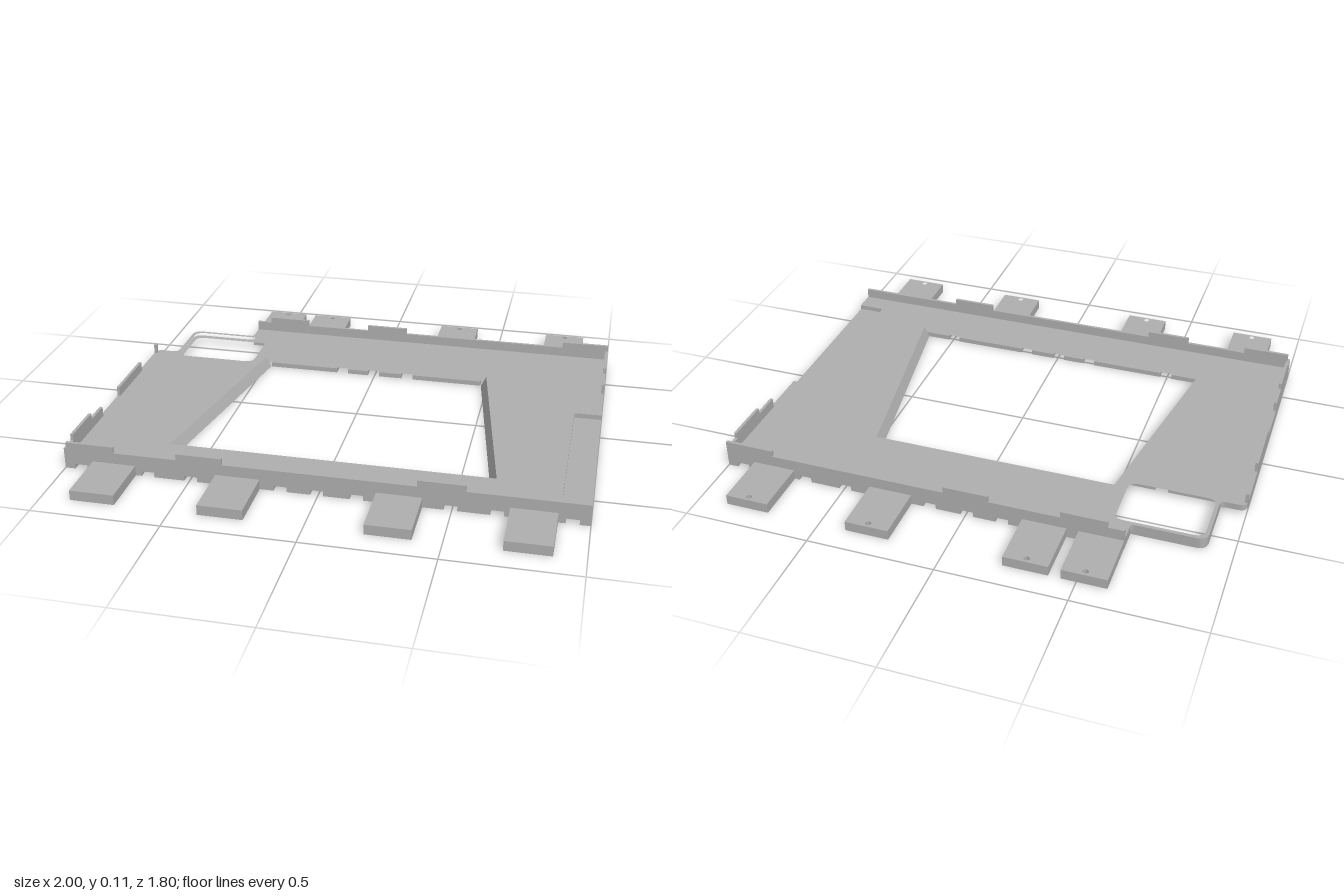
import * as THREE from 'three';
import { mergeGeometries } from 'three/addons/utils/BufferGeometryUtils.js';
import { ConvexGeometry } from 'three/addons/geometries/ConvexGeometry.js';

const grey = new THREE.MeshStandardMaterial({ color: 0xb0b0b0 });
grey.name = 'plain grey';

const DECK = 0.045, GROOVE = 0.02, WALL = 0.012, EDGE = 0.665;
const BACK = -0.375, FRONT = 0.49;            // opening limits in z
const openingX = z => 0.495 + (z - BACK) / (FRONT - BACK) * 0.145;

// box given by its limits
function box(x0, x1, y0, y1, z0, z1) {
  return new THREE.BoxGeometry(x1 - x0, y1 - y0, z1 - z0)
    .translate((x0 + x1) / 2, (y0 + y1) / 2, (z0 + z1) / 2);
}

// plan points are [x, z]
const path = pts => pts.map(([x, z]) => new THREE.Vector2(x, -z));

function slab(shape, y0, y1) {
  return new THREE.ExtrudeGeometry(shape, { depth: y1 - y0, bevelEnabled: false, curveSegments: 6 })
    .rotateX(-Math.PI / 2).translate(0, y0, 0);
}

// closed outline whose corners [x, z, radius] may be rounded
function outline(corners, Type = THREE.Shape) {
  const s = new Type(), n = corners.length;
  corners.forEach(([x, z, r = 0], i) => {
    const p = new THREE.Vector2(x, -z);
    const toward = j => {
      const q = new THREE.Vector2(corners[j][0], -corners[j][1]);
      return q.sub(p).setLength(r).add(p);
    };
    const a = toward((i + n - 1) % n), b = toward((i + 1) % n);
    if (i === 0) s.moveTo(a.x, a.y); else s.lineTo(a.x, a.y);
    if (r) s.quadraticCurveTo(p.x, p.y, b.x, b.y);
  });
  s.closePath();
  return s;
}

const windowHole = () => outline([[-0.885, -0.57, 0.04], [-0.54, -0.57, 0.04],
  [-0.54, -0.31, 0.04], [-0.885, -0.31, 0.04]], THREE.Path);

function deckShape(rightEdge) {
  const s = outline([[-0.615, -EDGE], ...rightEdge, [-1, EDGE], [-1, -0.345, 0.03],
    [-0.9, -0.345, 0.025], [-0.9, -0.585, 0.04], [-0.615, -0.585, 0.015]]);
  s.holes.push(new THREE.Path(path([[-0.495, BACK], [0.495, BACK], [0.64, FRONT], [-0.64, FRONT]])));
  s.holes.push(windowHole());
  return s;
}

// splits a range at the grooves, given as [start, end]
function between(a, b, grooves) {
  const out = [];
  let from = a;
  for (const [g0, g1] of grooves) {
    if (g1 <= a || g0 >= b) continue;
    if (g0 > from) out.push([from, g0]);
    from = g1;
  }
  if (from < b) out.push([from, b]);
  return out;
}

const lengthGrooves = [-0.935, -0.665, -0.495, -0.145, -0.005, 0.145, 0.495, 0.665, 0.935]
  .map(x => [x - 0.025, x + 0.025]);
const crossGrooves = [-0.6, -0.52, -0.435, 0.545, 0.615].map(z => [z - 0.015, z + 0.015]);

export function createModel() {
  const model = new THREE.Group();
  const add = (name, parts) => {
    const g = mergeGeometries(parts.map(p => (p.index ? p.toNonIndexed() : p)));
    const mesh = new THREE.Mesh(g, grey);
    mesh.name = name;
    model.add(mesh);
  };

  // deck, with a shallow pocket open to the left side
  add('deck', [
    slab(deckShape([[1, -EDGE], [1, EDGE]]), GROOVE, 0.025),
    slab(deckShape([[1, -EDGE], [1, -0.11], [0.89, -0.11, 0.01], [0.89, 0.58, 0.01],
      [1, 0.58], [1, EDGE]]), 0.025, DECK),
  ]);

  // pads under the deck, separated by grooves
  const pads = [box(-0.615, -0.53, 0, GROOVE, -EDGE, -0.585)];
  for (const [xStart, z0, z1] of [[-0.53, -EDGE, BACK], [-1, FRONT, EDGE]]) {
    for (const [a, b] of between(xStart, 1, lengthGrooves))
      for (const [c, d] of between(z0, z1, crossGrooves)) pads.push(box(a, b, 0, GROOVE, c, d));
  }
  for (const side of [-1, 1]) {
    const zStart = side < 0 ? -0.3 : BACK;
    for (const [a, b] of between(0.495, 1, lengthGrooves)) {
      const reach = BACK + (a - 0.495) / 0.145 * (FRONT - BACK);
      const xs = openingX(zStart);
      const pts = reach >= FRONT
        ? [[a, zStart], [b, zStart], [b, FRONT], [a, FRONT]]
        : [[Math.max(a, xs), zStart], [b, zStart], [b, FRONT], [openingX(FRONT), FRONT], [a, Math.max(reach, zStart)]];
      const clean = pts.filter(([x, z], i) => !pts.slice(0, i)
        .some(([u, v]) => Math.hypot(x - u, z - v) < 0.003));
      if (clean.length > 2)
        pads.push(slab(new THREE.Shape(path(clean.map(([x, z]) => [side * x, z]))), 0, GROOVE));
    }
  }
  add('undersidePads', pads);

  // lower half of the rounded corner frame
  const ring = outline([[-0.9, -0.585, 0.04], [-0.53, -0.585], [-0.53, -0.3], [-0.9, -0.3]]);
  ring.holes.push(windowHole());
  add('cornerFrame', [slab(ring, 0, GROOVE)]);

  // sloping cheeks of the opening
  add('openingCheeks', [-1, 1].map(side => {
    const pts = [];
    for (const z of [BACK, FRONT]) {
      const x = openingX(z);
      pts.push([x, DECK, z], [x, 0, z], [x - 0.022, 0, z]);
    }
    return new ConvexGeometry(pts.map(([x, y, z]) => new THREE.Vector3(side * x, y, z)));
  }).map(g => {
    const flat = g.index ? g.toNonIndexed() : g;
    flat.setAttribute('uv', new THREE.BufferAttribute(new Float32Array(flat.attributes.position.count * 2), 2));
    return flat;
  }));

  // front and back walls with notched feet and raised tabs
  const longWall = (name, x0, z0, tabs) => add(name, [
    box(x0, 1, GROOVE, 0.085, z0, z0 + WALL),
    ...between(x0, 1, lengthGrooves).map(([a, b]) => box(a, b, 0, GROOVE, z0, z0 + WALL)),
    ...tabs.map(([a, b]) => box(a, b, 0.085, 0.11, z0, z0 + WALL)),
  ]);
  longWall('frontWall', -1, EDGE, [[-0.99, -0.8], [-0.55, -0.37], [0.37, 0.55]]);
  longWall('backWall', -0.615, -EDGE - WALL, [[-0.55, -0.37], [-0.09, 0.09], [0.8, 1]]);

  // short walls along the sides
  add('rightSideWalls', [
    box(-1, -1 + WALL, DECK, 0.085, 0.32, EDGE),
    box(-1, -1 + WALL, 0.085, 0.11, 0.43, 0.61),
    box(-1, -1 + WALL, DECK, 0.085, -0.12, 0.135),
    box(-1, -1 + WALL, DECK, 0.085, -0.325, -0.31),
  ]);
  add('leftSideWalls', [
    box(1 - WALL, 1, DECK, 0.085, -EDGE, -0.315),
    box(1 - WALL, 1, 0.085, 0.11, -0.61, -0.43),
  ]);

  // mounting lugs with screw holes
  const lug = (x, side) => {
    const z0 = side * (EDGE + WALL), z1 = side * 0.9;
    const s = new THREE.Shape(path([[x - 0.086, z0], [x + 0.086, z0], [x + 0.086, z1], [x - 0.086, z1]]));
    s.holes.push(new THREE.Path().absarc(x, -side * 0.88, 0.011, 0, Math.PI * 2, true));
    return slab(s, 0, 0.04);
  };
  add('frontLugs', [-0.8, -0.31, 0.305, 0.797].map(x => lug(x, 1)));
  add('backLugs', [-0.528, -0.31, 0.305, 0.797].map(x => lug(x, -1)));
  return model;
}
